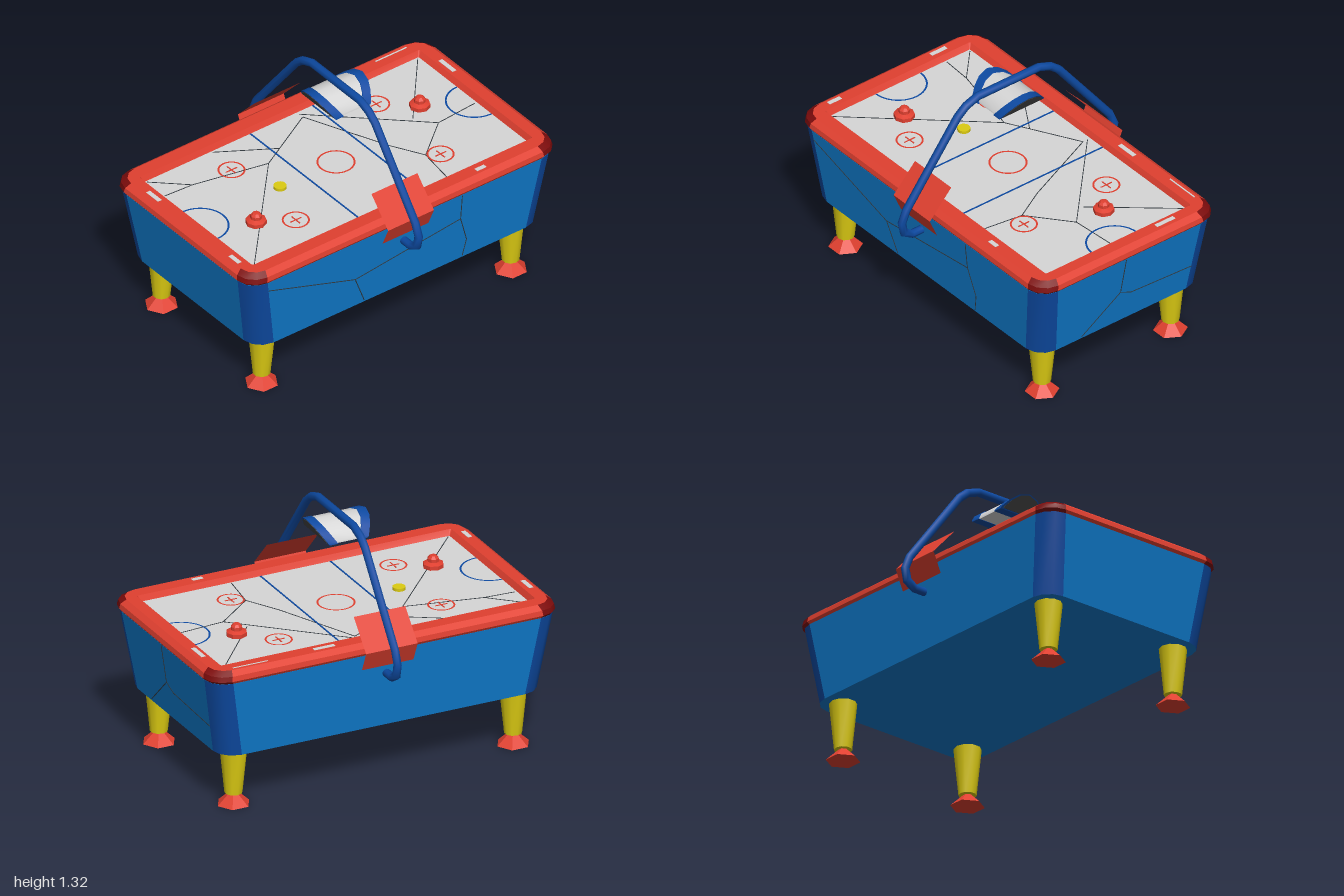
import * as THREE from 'three';
import { toCreasedNormals } from 'three/addons/utils/BufferGeometryUtils.js';

const V = (x, y, z) => new THREE.Vector3(x, y, z);

// Skin between equal rings of points (clockwise about the loft direction)
function loft(rings, { pick = () => true, caps = false, crease = 0.65 } = {}) {
  const pos = [];
  const tri = (...p) => p.forEach((v) => pos.push(v.x, v.y, v.z));
  const n = rings[0].length;
  for (let i = 0; i < rings.length - 1; i++) {
    for (let j = 0; j < n; j++) {
      if (!pick(i, j)) continue;
      const k = (j + 1) % n, a = rings[i], b = rings[i + 1];
      tri(a[j], b[j], a[k]);
      tri(a[k], b[j], b[k]);
    }
  }
  if (caps) {
    const a = rings[0], b = rings[rings.length - 1];
    for (let j = 1; j < n - 1; j++) {
      tri(a[0], a[j], a[j + 1]);
      tri(b[0], b[j + 1], b[j]);
    }
  }
  const g = new THREE.BufferGeometry();
  g.setAttribute('position', new THREE.Float32BufferAttribute(pos, 3));
  return toCreasedNormals(g, crease);
}

// Horizontal rectangle with rounded corners
const SEG = 3;
function roundedRing(hx, hz, y, r) {
  const pts = [];
  [[1, 1], [-1, 1], [-1, -1], [1, -1]].forEach(([sx, sz], c) => {
    for (let i = 0; i <= SEG; i++) {
      const a = (c + i / SEG) * Math.PI / 2;
      pts.push(V(sx * (hx - r) + r * Math.cos(a), y, sz * (hz - r) + r * Math.sin(a)));
    }
  });
  return pts;
}
const isCorner = (j) => j % (SEG + 1) !== SEG;

export function createModel() {
  const model = new THREE.Group();
  const mat = (name, color, side = THREE.FrontSide) => {
    const m = new THREE.MeshStandardMaterial({ color, side });
    m.name = name;
    return m;
  };
  const blue = mat('bright blue', 0x0f7acb);
  const navy = mat('deep blue', 0x0d4aa2);
  const red = mat('red', 0xe04030, THREE.DoubleSide);
  const maroon = mat('dark red', 0x7d0c0c);
  const yellow = mat('yellow', 0xdccb12);
  const white = mat('pale grey', 0xd6d6d6);
  const screenGrey = mat('screen grey', 0x444444);
  const crackGrey = mat('crack grey', 0x333a40);

  const add = (name, geo, material, x = 0, y = 0, z = 0, parent = model) => {
    const m = new THREE.Mesh(geo, material);
    m.name = name;
    m.position.set(x, y, z);
    parent.add(m);
    return m;
  };
  // Thin straight bar between two points
  const bar = (name, p, q, w, h, material) => {
    const m = add(name, new THREE.BoxGeometry(w, h, p.distanceTo(q)), material);
    m.position.copy(p).add(q).multiplyScalar(0.5);
    m.lookAt(q);
  };

  // Tapered cabinet with deep blue corners
  const cabinet = [roundedRing(0.92, 0.535, 0.32, 0.11), roundedRing(0.99, 0.577, 0.75, 0.11)];
  add('cabinet', loft(cabinet, { pick: (i, j) => !isCorner(j), caps: true }), blue);
  add('cabinetCorners', loft(cabinet, { pick: (i, j) => isCorner(j) }), navy);

  // Padded rail with dark corner guards
  const rail = [
    [0.985, 0.572, 0.745, 0.11], [1.0, 0.585, 0.765, 0.11], [0.995, 0.58, 0.792, 0.11],
    [0.965, 0.55, 0.815, 0.09], [0.9, 0.475, 0.815, 0.01], [0.88, 0.457, 0.78, 0.004],
  ].map((a) => roundedRing(...a));
  const guard = (i, j) => i < 3 && isCorner(j);
  add('rail', loft(rail, { pick: (i, j) => !guard(i, j) }), red);
  add('railCorners', loft(rail, { pick: guard }), maroon);

  // Playing surface and its markings
  const TOP = 0.785, MARK = TOP + 0.002;
  add('playingSurface', new THREE.BoxGeometry(1.77, 0.02, 0.92), white, 0, TOP - 0.01, 0);
  const ring = (name, r, w, material, x, z, start = 0, len = Math.PI * 2) => {
    const g = new THREE.RingGeometry(r - w, r, 36, 1, start, len).rotateX(-Math.PI / 2);
    add(name, g, material, x, MARK, z);
  };
  ring('centreCircle', 0.1, 0.01, red, 0, 0);
  for (const s of [-1, 1]) {
    bar('zoneLine', V(0.2 * s, MARK, -0.457), V(0.2 * s, MARK, 0.457), 0.009, 0.002, navy);
    ring('goalArc', 0.15, 0.01, navy, 0.88 * s, 0.01, s * Math.PI / 2, Math.PI);
    for (const t of [-1, 1]) {
      const x = 0.465 * s, z = 0.27 * t;
      ring('spotCircle', 0.072, 0.01, red, x, z);
      bar('spotCross', V(x - 0.035, MARK, z), V(x + 0.035, MARK, z), 0.007, 0.002, red);
      bar('spotCross', V(x, MARK, z - 0.035), V(x, MARK, z + 0.035), 0.007, 0.002, red);
    }
  }

  // Hairline cracks on surface, front and right end
  const cracks = (name, lines, place) => lines.forEach((l) => {
    for (let i = 0; i < l.length - 1; i++) bar(name, place(...l[i]), place(...l[i + 1]), 0.004, 0.004, crackGrey);
  });
  cracks('surfaceCrack', [
    [[-0.87, 0.45], [-0.28, -0.2], [-0.7, -0.29], [-0.87, -0.3]],
    [[-0.7, -0.29], [-0.87, -0.45]],
    [[-0.28, -0.2], [0.1, -0.41], [0.3, 0.05], [0.4, 0.23], [0.37, 0.45]],
    [[-0.45, -0.45], [-0.16, -0.27]],
    [[0.1, -0.44], [0.62, 0.05], [0.87, 0.03]],
    [[0.62, 0.05], [0.4, 0.23]],
    [[0.54, -0.06], [0.87, -0.45]],
  ], (x, z) => V(x, TOP, z));
  cracks('frontCrack', [
    [[-0.87, 0.695], [-0.3, 0.5], [0.37, 0.59], [0.37, 0.745]],
    [[-0.3, 0.5], [-0.23, 0.33]],
    [[0.37, 0.59], [0.42, 0.43], [0.4, 0.33]],
  ], (x, y) => V(x, y, 0.535 + (y - 0.32) * 0.098));
  cracks('endCrack', [
    [[0.02, 0.745], [0.03, 0.525], [-0.04, 0.49], [-0.44, 0.47]],
    [[0.03, 0.525], [0.26, 0.33]],
  ], (z, y) => V(0.92 + (y - 0.32) * 0.163, y, z));

  // Worn patches on the rail
  for (const [x, z, w, d] of [[0.33, -0.515, 0.12, 0.025], [0.76, -0.53, 0.2, 0.008], [0.53, 0.52, 0.06, 0.025],
    [-0.94, -0.3, 0.025, 0.1], [-0.94, 0.38, 0.025, 0.08], [0.93, -0.28, 0.025, 0.12]]) {
    add('wornPatch', new THREE.BoxGeometry(w, 0.003, d), white, x, 0.815, z);
  }

  // Legs and feet
  const legGeo = toCreasedNormals(new THREE.CylinderGeometry(0.073, 0.047, 0.26, 10), 0.8);
  const footGeo = new THREE.CylinderGeometry(0.015, 0.09, 0.07, 6).rotateY(Math.PI / 6).toNonIndexed();
  footGeo.computeVertexNormals();
  for (const x of [-0.8, 0.8]) {
    for (const z of [-0.42, 0.42]) {
      add('leg', legGeo, yellow, x, 0.192, z);
      add('foot', footGeo, red, x, 0.035, z);
    }
  }

  // Overhead arch: mitred octagonal tube
  const half = [[0.54, 0.625], [0.63, 0.625], [0.68, 0.655], [0.694, 0.72], [0.665, 0.79],
    [0.33, 1.225], [0.275, 1.27], [0.2, 1.297]];
  const path = [...half, ...half.map(([z, y]) => [-z, y]).reverse()].map(([z, y]) => V(0, y, z));
  const archRings = path.map((p, i) => {
    const d1 = p.clone().sub(path[Math.max(i - 1, 0)]).normalize();
    const d2 = path[Math.min(i + 1, path.length - 1)].clone().sub(p).normalize();
    const d = d1.clone().add(d2).normalize();
    const miter = 1 / Math.max(d.dot(d2), d.dot(d1));
    return Array.from({ length: 8 }, (_, k) => {
      const a = k * Math.PI / 4, c = 0.022 * miter * Math.cos(a);
      return V(-0.022 * Math.sin(a), p.y - d.z * c, p.z + d.y * c);
    });
  });
  add('arch', loft(archRings, { caps: true, crease: 1 }), navy);

  // Score display under the arch, ends leaning outwards
  const profile = [[0.145, 1.187], [0.143, 1.197], [0.105, 1.24], [0.06, 1.272], [0, 1.287],
    [-0.06, 1.272], [-0.105, 1.24], [-0.143, 1.197], [-0.145, 1.187]];
  const slice = (side, offset, k) => profile.map(([z, y0]) => {
    const y = 1.23 + (y0 - 1.23) * k;
    return V(side * (0.11 + (y - 1.187) * 0.6 + offset), y, z * k);
  });
  const slab = (name, rings, material) => add(name, loft(rings, { caps: true }), material);
  slab('displayBody', [slice(-1, -0.035, 0.95), slice(1, -0.035, 0.95)], white);
  for (const s of [-1, 1]) {
    const pair = (a, b, k) => (s > 0 ? [slice(s, a, k), slice(s, b, k)] : [slice(s, b, k), slice(s, a, k)]);
    slab('displayFrame', pair(-0.05, 0, 1), navy);
    slab('displayScreen', pair(-0.005, 0.003, 0.88), screenGrey);
  }

  // Folded guard plates where the arch meets the rail
  for (const s of [-1, 1]) {
    const pts = [[0.49, 0.937], [0.63, 0.785], [0.582, 0.675]];
    const g = new THREE.PlaneGeometry(0.295, 1, 1, 2).toNonIndexed();
    const p = g.attributes.position;
    for (let i = 0; i < p.count; i++) {
      const [z, y] = pts[Math.round((0.5 - p.getY(i)) * 2)];
      p.setXYZ(i, p.getX(i), y, z);
    }
    g.computeVertexNormals();
    add('guardPlate', g, red).rotation.y = s > 0 ? 0 : Math.PI;
  }

  // Mallets and puck
  for (const [x, z] of [[0.63, -0.12], [-0.64, 0.165]]) {
    const mallet = new THREE.Group();
    mallet.name = 'mallet';
    mallet.position.set(x, TOP, z);
    model.add(mallet);
    const profileM = [[0.055, 0], [0.055, 0.022], [0.03, 0.032], [0.03, 0.05], [0.018, 0.064], [0, 0.067]];
    const g = new THREE.LatheGeometry(profileM.map((q) => new THREE.Vector2(...q)), 8);
    add('malletBody', toCreasedNormals(g, 0.5), red, 0, 0, 0, mallet);
  }
  add('puck', new THREE.CylinderGeometry(0.034, 0.034, 0.016, 16), yellow, -0.36, TOP + 0.008, 0);

  return model;
}
